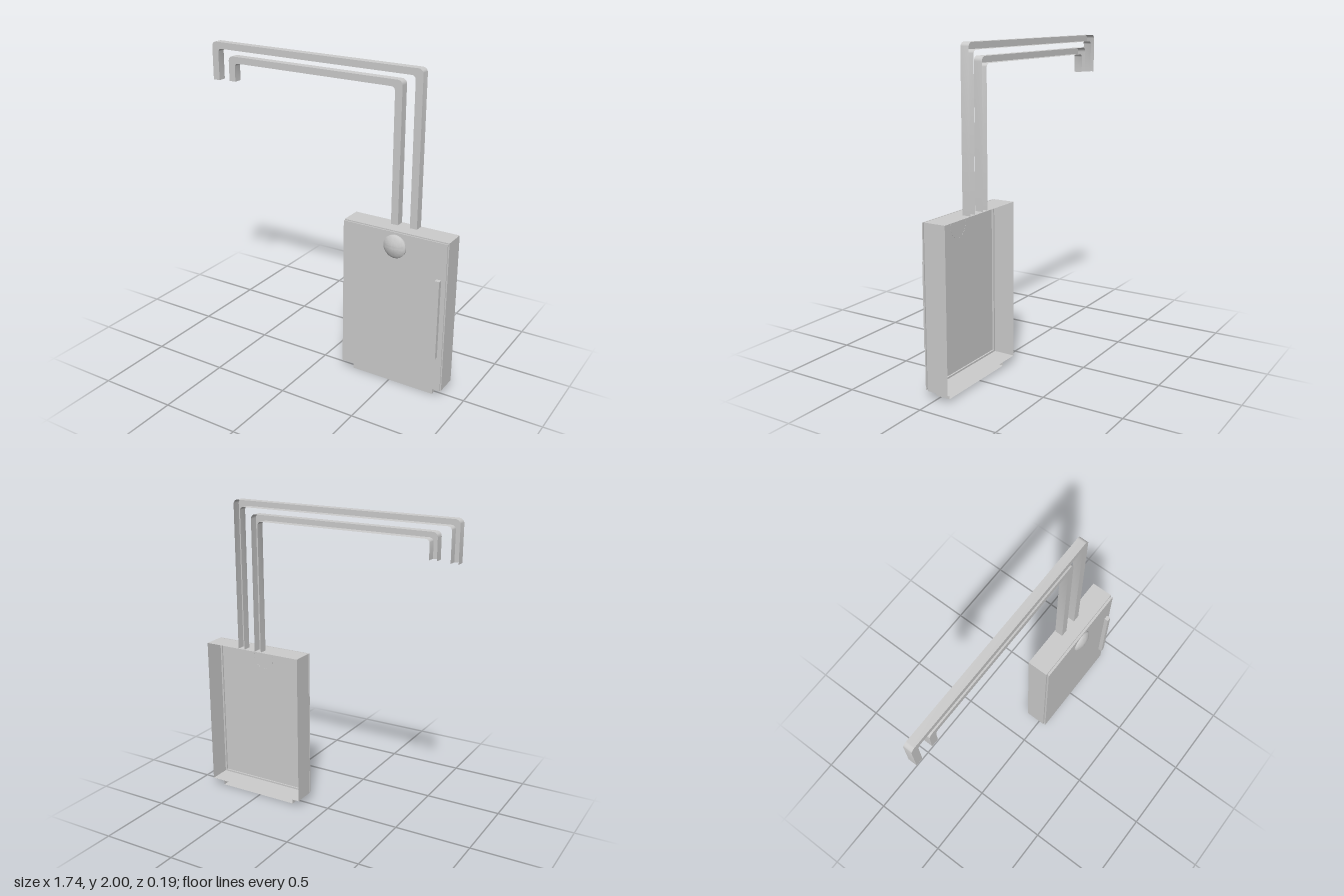
import * as THREE from 'three';
import { toCreasedNormals } from 'three/addons/utils/BufferGeometryUtils.js';

const material = new THREE.MeshStandardMaterial({ color: 0xcccccc, side: THREE.DoubleSide });

function part(name, geometry) {
  const mesh = new THREE.Mesh(geometry, material);
  mesh.name = name;
  return mesh;
}

// Skin a sheet over rows of [x, y, z] points, optionally closing each row into a loop
function skin(rows, closed) {
  const n = rows[0].length;
  const index = [];
  for (let r = 0; r < rows.length - 1; r++) {
    for (let i = 0; i < (closed ? n : n - 1); i++) {
      const a = r * n + i, b = r * n + (i + 1) % n;
      index.push(a, b, a + n, b, b + n, a + n);
    }
  }
  const geometry = new THREE.BufferGeometry();
  geometry.setAttribute('position', new THREE.Float32BufferAttribute(rows.flat(2), 3));
  geometry.setIndex(index);
  return toCreasedNormals(geometry, 0.7);
}

// Rectangular shell, open at the back, from [z, inset] steps; the last step is closed by a face
function openShell(x0, x1, y0, y1, steps) {
  const ring = ([z, d]) => [
    [x0 + d, y0 + d, z], [x1 - d, y0 + d, z], [x1 - d, y1 - d, z], [x0 + d, y1 - d, z],
  ];
  const rows = steps.map(ring);
  const [zEnd] = steps[steps.length - 1];
  const cx = (x0 + x1) / 2, cy = (y0 + y1) / 2;
  rows.push(rows[0].map(() => [cx, cy, zEnd]));
  return skin(rows, true);
}

// Outline through four corners with the two middle ones rounded
function roundedPath(xRight, yFoot, yTop, xLeft, yTip, radius) {
  const points = [[xRight, yFoot]];
  const steps = 6;
  for (const [cx, start] of [[xRight - radius, 0], [xLeft + radius, Math.PI / 2]]) {
    for (let i = 0; i <= steps; i++) {
      const a = start + (i / steps) * Math.PI / 2;
      points.push([cx + radius * Math.cos(a), yTop - radius + radius * Math.sin(a)]);
    }
  }
  points.push([xLeft, yTip]);
  return points;
}

// U-shaped conduit, open at the back
function conduit(xRight, yTop, xLeft, yTip) {
  const back = -0.09, front = -0.036, foot = 1.036, w = 0.047, h = 0.042;
  const outer = roundedPath(xRight, foot, yTop, xLeft, yTip, 0.03);
  const inner = roundedPath(xRight - w, foot, yTop - h, xLeft + w, yTip, 0.025);
  const rows = outer.map(([x, y], i) => {
    const [u, v] = inner[i];
    return [[u, v, back], [u, v, front], [x, y, front], [x, y, back]];
  });
  return skin(rows, false);
}

export function createModel() {
  const model = new THREE.Group();
  model.name = 'wallCabinetWithConduits';

  // Cabinet: open-backed case, recessed seam, then the door panel
  model.add(part('cabinet', openShell(0.169, 0.867, 0.05, 1.038, [
    [-0.0945, 0], [0.045, 0], [0.045, 0.011], [0.055, 0.011], [0.055, 0.003], [0.062, 0.003],
  ])));

  // Shallow base under the case
  const base = openShell(0.238, 0.803, 0, 0.05, [[-0.06, 0], [0.035, 0]]);
  model.add(part('base', base));

  // Upright door handle
  model.add(part('handle', openShell(0.806, 0.835, 0.284, 0.802, [[0.062, 0], [0.089, 0]])));

  // Domed knob with a bevelled rim
  const profile = [[0.074, 0], [0.074, 0.009], [0.067, 0.015]];
  for (let i = 1; i <= 8; i++) {
    const t = i / 8;
    profile.push([0.067 * (1 - t), 0.015 + 0.0185 * (1 - (1 - t) ** 2)]);
  }
  const knobGeometry = new THREE.LatheGeometry(profile.map(([r, y]) => new THREE.Vector2(r, y)), 40);
  const knob = part('knob', toCreasedNormals(knobGeometry, 0.5));
  knob.rotation.x = Math.PI / 2;
  knob.position.set(0.527, 0.947, 0.061);
  model.add(knob);

  // Two nested conduits rising from the case and running to the right
  model.add(part('outerConduit', conduit(0.618, 2, -0.873, 1.754)));
  model.add(part('innerConduit', conduit(0.491, 1.92, -0.745, 1.76)));

  return model;
}
